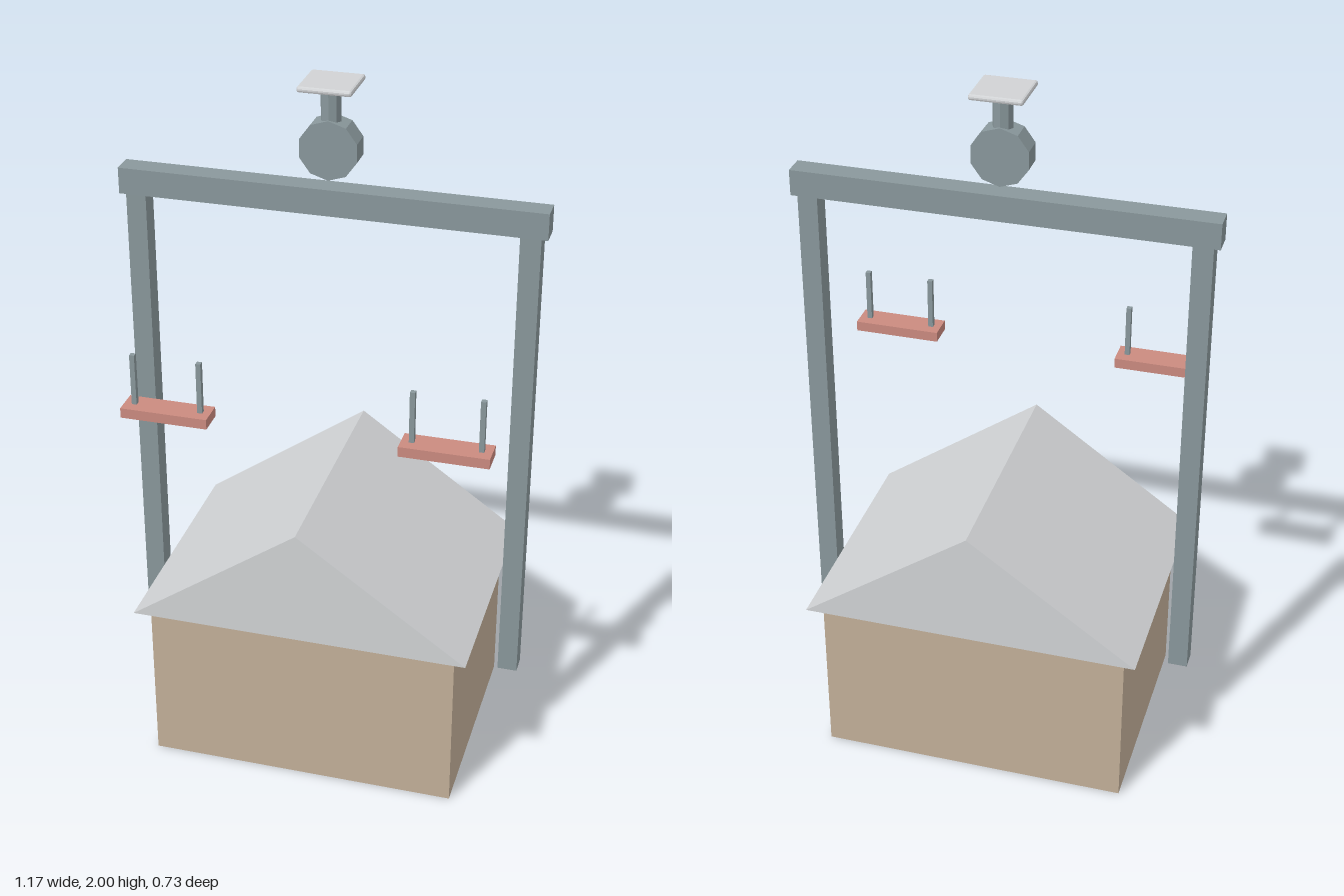
import * as THREE from 'three';
import { RoundedBoxGeometry } from 'three/addons/geometries/RoundedBoxGeometry.js';

const material = (name, color) => {
  const m = new THREE.MeshStandardMaterial({ color, flatShading: true });
  m.name = name;
  return m;
};

export function createModel() {
  const model = new THREE.Group();
  model.name = 'houseWithSwingFrame';

  const wall = material('tan wall', 0xc2af98);
  const roofGrey = material('light grey roof', 0xd0d2d4);
  const steel = material('blue grey steel', 0x89979b);
  const red = material('faded red', 0xca8a7f);

  const add = (parent, name, geometry, mat, x, y, z) => {
    const mesh = new THREE.Mesh(geometry, mat);
    mesh.name = name;
    mesh.position.set(x, y, z);
    parent.add(mesh);
    return mesh;
  };
  const box = (parent, name, mat, w, h, d, x, y, z) =>
    add(parent, name, new THREE.BoxGeometry(w, h, d), mat, x, y, z);

  // House body
  box(model, 'houseBody', wall, 0.885, 0.5, 0.655, 0, 0.25, 0);

  // Gabled roof with overhanging eaves
  const gable = new THREE.Shape([
    new THREE.Vector2(-0.481, 0),
    new THREE.Vector2(0.481, 0),
    new THREE.Vector2(0, 0.34),
  ]);
  const roof = new THREE.ExtrudeGeometry(gable, { depth: 0.728, bevelEnabled: false });
  add(model, 'roof', roof, roofGrey, 0, 0.498, -0.364);

  // Frame: two posts and a crossbeam
  for (const [side, name] of [[1, 'leftPost'], [-1, 'rightPost']]) {
    box(model, name, steel, 0.056, 1.378, 0.056, side * 0.541, 0.953, 0);
  }
  box(model, 'crossbeam', steel, 1.174, 0.074, 0.065, 0, 1.673, 0);

  // Two hanging seats with a pair of rods each
  for (const [x, name] of [[0.387, 'leftSwing'], [-0.389, 'rightSwing']]) {
    const swing = new THREE.Group();
    swing.name = name;
    swing.position.set(x, 0, 0.258);
    box(swing, 'seat', red, 0.246, 0.029, 0.077, 0, 1.108, 0);
    for (const dx of [-0.094, 0.094]) {
      box(swing, 'rod', steel, 0.014, 0.152, 0.015, dx, 1.196, 0);
    }
    model.add(swing);
  }

  // Ten-sided wheel above the beam, with its stem and cap plate
  const wheel = add(model, 'wheel', new THREE.CylinderGeometry(0.082, 0.082, 0.065, 10), steel, 0, 1.819, 0);
  wheel.rotation.x = Math.PI / 2;
  add(model, 'stem', new THREE.CylinderGeometry(0.028, 0.028, 0.12, 8), steel, 0, 1.93, 0);
  add(model, 'capPlate', new RoundedBoxGeometry(0.146, 0.016, 0.146, 1, 0.006), roofGrey, 0, 1.992, 0);

  return model;
}
